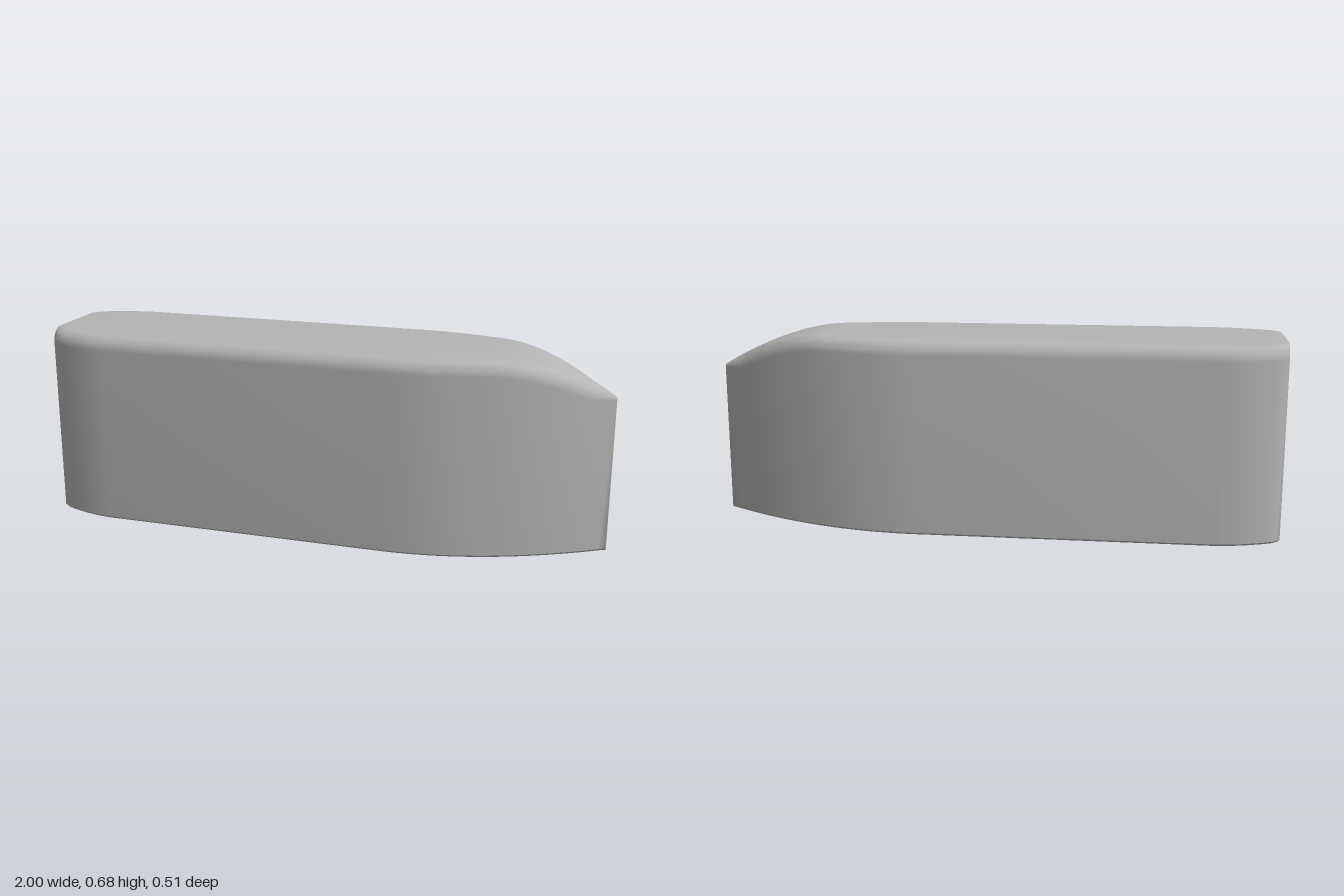
import * as THREE from 'three';
import { toCreasedNormals } from 'three/addons/utils/BufferGeometryUtils.js';

const ROUND = 0.05;    // radius of the top edges
const CHAMFER = 0.007; // bevel round the base

// Stations along the length: [x, half width, height]
function makeStations() {
  const list = [[-1, 0.168], [-0.99, 0.185], [-0.97, 0.202], [-0.94, 0.216],
    [-0.88, 0.236], [-0.83, 0.248], [-0.77, 0.255]].map(([x, w]) => [x, w, 0.682]);
  const steps = 32, start = 0.26;
  for (let i = 0; i <= steps; i++) {
    const t = i / steps, x = start + (1 - start) * t;
    const drop = Math.max(0, (x - 0.6) / 0.4);
    list.push([x, 0.255 - 0.247 * t ** 1.95, 0.682 - 0.136 * drop ** 1.8]);
  }
  return list;
}

// Cross-section as [z, y], from the +z base over the top to the -z base
function section(w, h) {
  const r = Math.min(ROUND, w * 0.9);
  const half = [[w - Math.min(CHAMFER, w * 0.6), 0], [w, CHAMFER]];
  for (let k = 0; k <= 8; k++) {
    const a = (k / 8) * Math.PI / 2;
    half.push([w - r + r * Math.cos(a), h - r + r * Math.sin(a)]);
  }
  return [...half, ...half.slice().reverse().map(([z, y]) => [-z, y])];
}

// Sides, rounded top, and the two end faces
function hullGeometry(stations) {
  const pos = [], index = [];
  const rings = stations.map(([, w, h]) => section(w, h));
  const n = rings[0].length;
  rings.forEach((ring, i) => ring.forEach(([z, y]) => pos.push(stations[i][0], y, z)));
  for (let i = 0; i < rings.length - 1; i++) {
    for (let j = 0; j < n - 1; j++) {
      const a = i * n + j, b = a + n;
      index.push(a, b, b + 1, a, b + 1, a + 1);
    }
  }
  const last = (rings.length - 1) * n, centre = rings.length * n;
  pos.push(-1, 0.3, 0, 1, 0.3, 0);
  for (let j = 0; j < n; j++) {
    const k = (j + 1) % n;
    index.push(centre, j, k, centre + 1, last + k, last + j);
  }
  const geo = new THREE.BufferGeometry();
  geo.setAttribute('position', new THREE.Float32BufferAttribute(pos, 3));
  geo.setIndex(index);
  return toCreasedNormals(geo, 0.55);
}

// Flat underside with a rectangular opening
function undersideGeometry(stations, x0, x1, z) {
  const edge = stations.map(([x, w]) => new THREE.Vector2(x, w - Math.min(CHAMFER, w * 0.6)));
  const mirrored = edge.slice().reverse().map((p) => new THREE.Vector2(p.x, -p.y));
  const shape = new THREE.Shape([...edge, ...mirrored]);
  shape.holes.push(new THREE.Path([[x0, -z], [x1, -z], [x1, z], [x0, z]]
    .map(([a, b]) => new THREE.Vector2(a, b))));
  return new THREE.ShapeGeometry(shape).rotateX(Math.PI / 2);
}

// Inside faces of a box, open at the bottom
function pocketGeometry(x0, x1, z, depth) {
  const geo = new THREE.BoxGeometry(x1 - x0, depth, 2 * z);
  const idx = Array.from(geo.index.array);
  idx.splice(18, 6); // drop the lower face
  geo.setIndex(idx.reverse());
  geo.clearGroups();
  geo.computeVertexNormals();
  return geo.translate((x0 + x1) / 2, depth / 2, 0);
}

export function createModel() {
  const model = new THREE.Group();
  model.name = 'pointedBlock';
  const grey = new THREE.MeshStandardMaterial({ color: 0xb4b4b4 });
  grey.name = 'grey';
  const add = (name, geo) => {
    const mesh = new THREE.Mesh(geo, grey);
    mesh.name = name;
    model.add(mesh);
  };

  const stations = makeStations();
  const [x0, x1, z, depth] = [-0.4, 0.14, 0.17, 0.186];
  add('hull', hullGeometry(stations));
  add('underside', undersideGeometry(stations, x0, x1, z));
  add('pocket', pocketGeometry(x0, x1, z, depth));
  return model;
}
